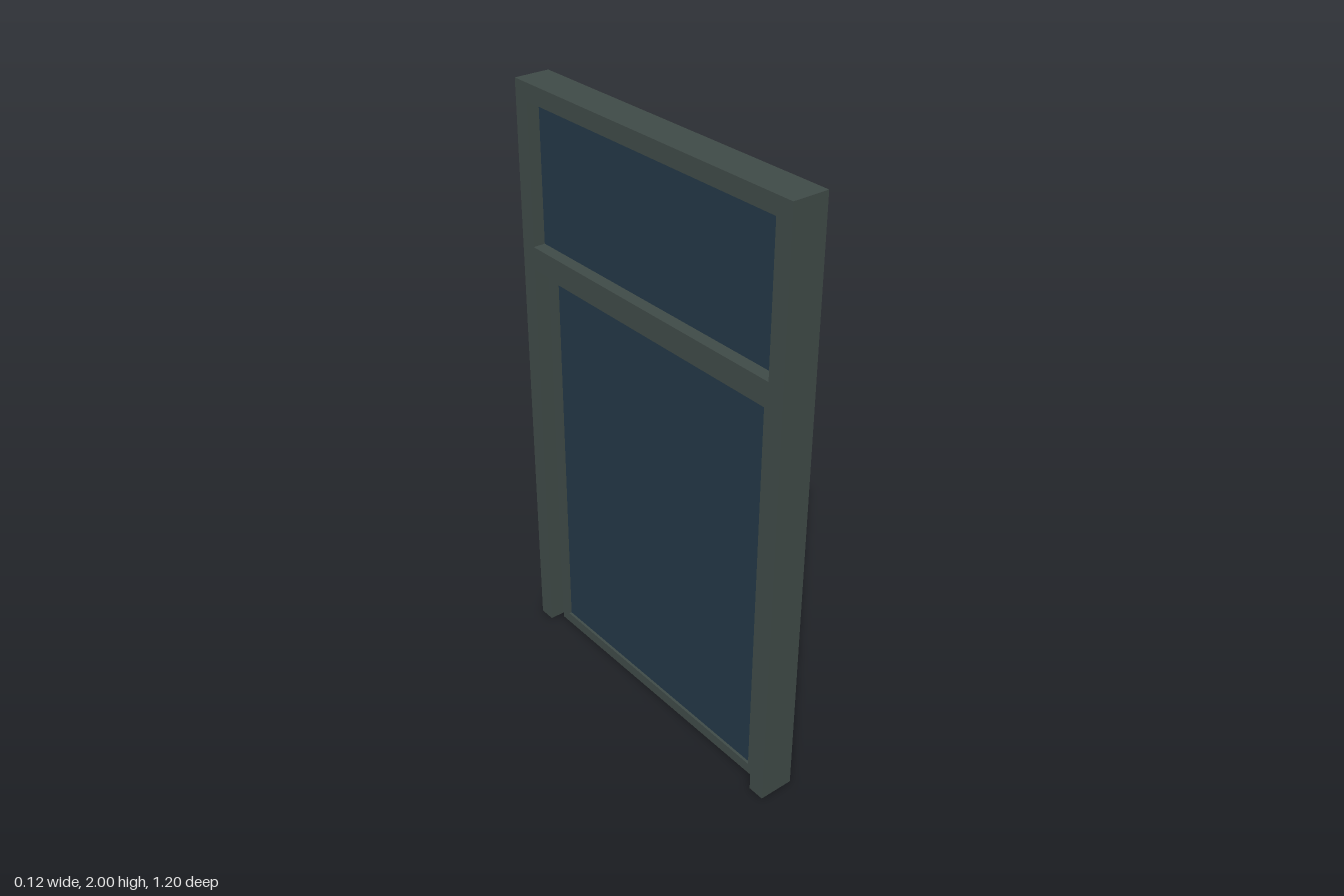
import * as THREE from 'three';

const frameMaterial = new THREE.MeshStandardMaterial({ color: 0x3f4a47 });
const glassMaterial = new THREE.MeshStandardMaterial({ color: 0x233746 });

// Rectangle in the z-y plane, wound either way.
function rect(path, halfWidth, bottom, top) {
  path.moveTo(-halfWidth, bottom);
  path.lineTo(halfWidth, bottom);
  path.lineTo(halfWidth, top);
  path.lineTo(-halfWidth, top);
  path.closePath();
  return path;
}

// Extrude a z-y outline along x, centred on x = 0.
function extruded(name, shape, depth, material) {
  const geometry = new THREE.ExtrudeGeometry(shape, { depth, bevelEnabled: false });
  geometry.translate(0, 0, -depth / 2);
  geometry.rotateY(Math.PI / 2);
  const mesh = new THREE.Mesh(geometry, material);
  mesh.name = name;
  return mesh;
}

function pane(name, width, bottom, top, thickness) {
  const mesh = new THREE.Mesh(new THREE.BoxGeometry(thickness, top - bottom, width), glassMaterial);
  mesh.name = name;
  mesh.position.y = (bottom + top) / 2;
  return mesh;
}

export function createModel() {
  const model = new THREE.Group();
  model.name = 'doorWithTransom';

  // Fixed frame: two jambs, head and transom bar, open at the floor
  const frame = new THREE.Shape([
    [-0.6, 0], [-0.543, 0], [-0.543, 1.4], [0.543, 1.4],
    [0.543, 0], [0.6, 0], [0.6, 2], [-0.6, 2],
  ].map(([z, y]) => new THREE.Vector2(z, y)));
  frame.holes.push(rect(new THREE.Path(), 0.543, 1.475, 1.943));
  model.add(extruded('doorFrame', frame, 0.12, frameMaterial));

  // Transom window
  model.add(pane('transomGlass', 1.086, 1.475, 1.943, 0.036));

  // Door leaf, with a small gap to the frame
  const door = new THREE.Group();
  door.name = 'door';
  const leaf = rect(new THREE.Shape(), 0.525, 0, 1.39);
  leaf.holes.push(rect(new THREE.Path(), 0.487, 0.037, 1.357));
  door.add(extruded('doorLeafFrame', leaf, 0.038, frameMaterial));
  door.add(pane('doorGlass', 0.974, 0.037, 1.357, 0.02));
  model.add(door);

  return model;
}
